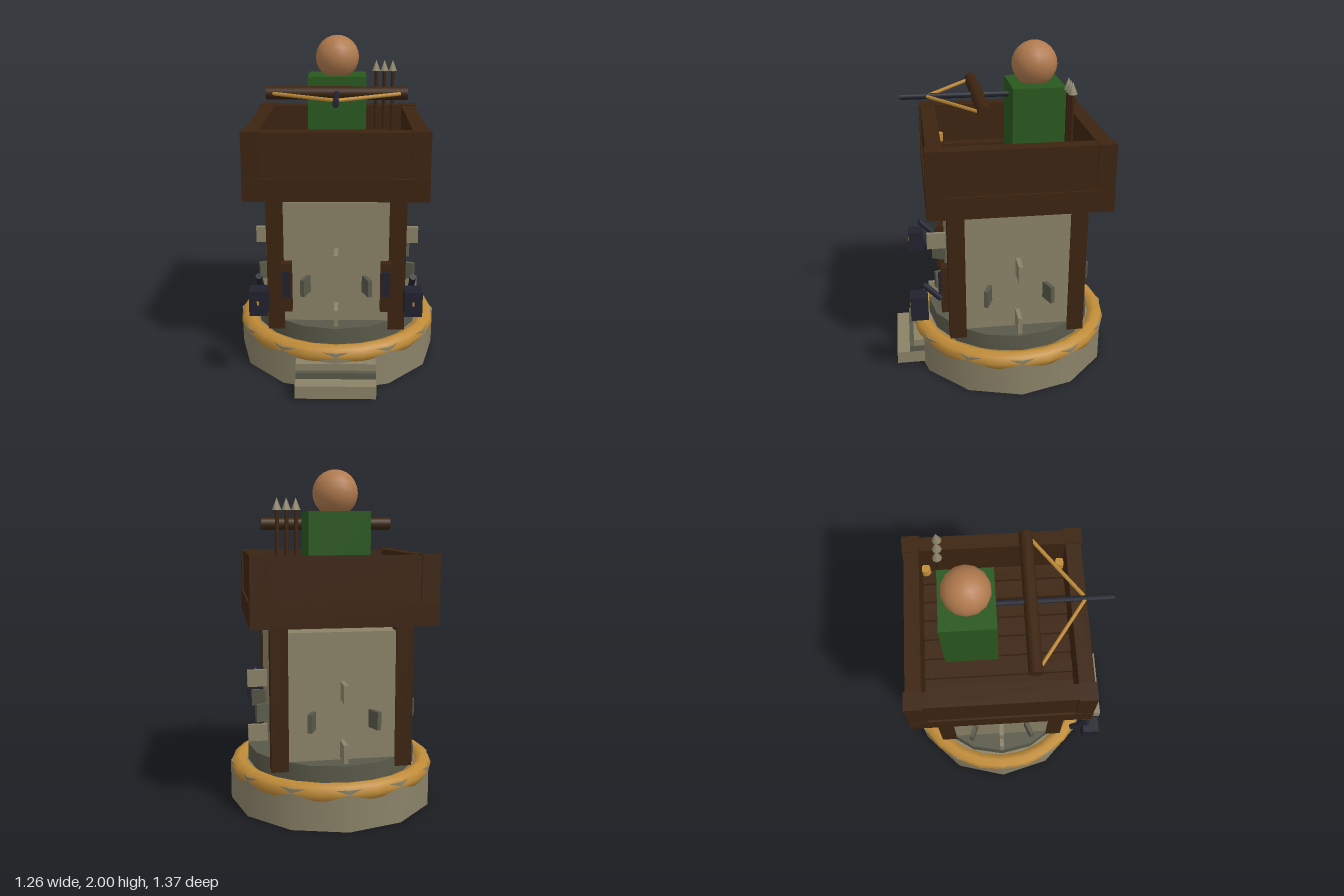
import * as THREE from 'three';

const mat = (name, color) => {
  const m = new THREE.MeshStandardMaterial({ color });
  m.name = name;
  return m;
};

export function createModel() {
  const model = new THREE.Group();
  model.name = 'watchtower';
  const stone = mat('pale stone', 0x8a8268);
  const darkStone = mat('dark stone', 0x59594a);
  const wood = mat('dark wood', 0x3c2410);
  const gold = mat('gold', 0xc08c38);
  const green = mat('green cloth', 0x29581f);
  const skin = mat('skin', 0xb07a4e);
  const iron = mat('dark iron', 0x22222f);

  const add = (parent, name, geometry, material, x = 0, y = 0, z = 0) => {
    const mesh = new THREE.Mesh(geometry, material);
    mesh.name = name;
    mesh.position.set(x, y, z);
    parent.add(mesh);
    return mesh;
  };
  // Box given by its lower and upper bounds
  const box = (parent, name, material, [x0, x1], [y0, y1], [z0, z1]) =>
    add(parent, name, new THREE.BoxGeometry(x1 - x0, y1 - y0, z1 - z0), material,
      (x0 + x1) / 2, (y0 + y1) / 2, (z0 + z1) / 2);
  // Round rod between two points
  const rod = (parent, name, material, a, b, radius, sides = 8) => {
    const p = new THREE.Vector3(...a), q = new THREE.Vector3(...b);
    const dir = q.clone().sub(p);
    const mesh = add(parent, name, new THREE.CylinderGeometry(radius, radius, dir.length(), sides), material);
    mesh.position.copy(p).add(q).multiplyScalar(0.5);
    mesh.quaternion.setFromUnitVectors(new THREE.Vector3(0, 1, 0), dir.normalize());
    return mesh;
  };

  // The tower is set slightly back to leave room for the steps
  const tower = new THREE.Group();
  tower.name = 'tower';
  tower.position.z = -0.055;
  model.add(tower);

  // Round foundation with a gold ring
  add(tower, 'foundation', new THREE.CylinderGeometry(0.63, 0.63, 0.24, 12), stone, 0, 0.12, 0);
  add(tower, 'goldRing', new THREE.TorusGeometry(0.575, 0.055, 8, 24), gold, 0, 0.215, 0).rotation.x = Math.PI / 2;
  add(tower, 'plinth', new THREE.CylinderGeometry(0.52, 0.52, 0.145, 16), darkStone, 0, 0.2725, 0);

  // Square walls and corner posts
  box(tower, 'walls', stone, [-0.4, 0.4], [0.3, 1.09], [-0.4, 0.4]);
  for (const sx of [-1, 1]) for (const sz of [-1, 1]) {
    add(tower, 'cornerPost', new THREE.BoxGeometry(0.1, 0.84, 0.1), wood, sx * 0.36, 0.71, sz * 0.36);
  }

  // Stones sticking out of the walls in three rows
  const stoneBlock = new THREE.BoxGeometry(0.025, 0.105, 0.16);
  const protrude = (name, material, angle, y) => {
    add(tower, name, stoneBlock, material, Math.sin(angle) * 0.44, y, Math.cos(angle) * 0.44).rotation.y = angle;
  };
  for (let i = 0; i < 4; i++) {
    protrude('lowerStone', stone, i * Math.PI / 2, 0.41);
    protrude('upperStone', stone, i * Math.PI / 2, 0.755);
  }
  for (let i = 0; i < 8; i++) protrude('middleStone', darkStone, (i + 0.5) * Math.PI / 4, 0.585);

  // Platform with parapet and planks
  box(tower, 'platform', wood, [-0.525, 0.525], [1.13, 1.26], [-0.525, 0.525]);
  for (let i = 0; i < 4; i++) {
    const side = new THREE.Group();
    side.name = 'parapetSide';
    side.rotation.y = i * Math.PI / 2;
    tower.add(side);
    box(side, 'parapetPanel', wood, [-0.42, 0.42], [1.26, 1.52], [0.425, 0.513]);
    box(side, 'parapetCorner', wood, [0.42, 0.523], [1.26, 1.525], [0.42, 0.523]);
    add(side, 'goldCornerKnob', new THREE.CylinderGeometry(0.03, 0.03, 0.08, 8), gold, 0.405, 1.3, 0.405);
  }
  for (let i = -3; i <= 3; i++) {
    box(tower, 'floorPlank', wood, [i * 0.12 - 0.033, i * 0.12 + 0.033], [1.26, 1.285], [-0.425, 0.425]);
  }

  // Entrance steps
  const stepWidth = [-0.234, 0.234];
  box(model, 'lowerStep', stone, stepWidth, [0.015, 0.095], [0.4, 0.685]);
  box(model, 'middleStep', darkStone, stepWidth, [0.095, 0.135], [0.4, 0.605]);
  box(model, 'upperStep', stone, stepWidth, [0.135, 0.178], [0.4, 0.577]);

  // Front boards and lanterns, mirrored
  for (const s of [-1, 1]) {
    add(model, 'frontBoard', new THREE.BoxGeometry(0.063, 0.305, 0.055), wood, s * 0.293, 0.577, 0.368);
    add(model, 'boardPlate', new THREE.BoxGeometry(0.045, 0.155, 0.02), iron, s * 0.293, 0.603, 0.4);
    const lantern = new THREE.Group();
    lantern.name = 'lantern';
    lantern.position.set(s * 0.44, 0, 0);
    model.add(lantern);
    box(lantern, 'lanternBox', iron, [-0.051, 0.051], [0.485, 0.632], [0.48, 0.582]);
    box(lantern, 'lanternLight', gold, [-0.006, 0.006], [0.55, 0.575], [0.58, 0.585]);
    rod(lantern, 'lanternArm', iron, [0, 0.595, 0.405], [0, 0.697, 0.505], 0.019);
  }

  // Archer
  const archer = new THREE.Group();
  archer.name = 'archer';
  model.add(archer);
  box(archer, 'archerBody', green, [-0.178, 0.178], [1.285, 1.76], [-0.362, -0.053]);
  add(archer, 'archerHead', new THREE.SphereGeometry(0.134, 14, 12), skin, 0, 1.866, -0.205);

  // Crossbow
  const bow = new THREE.Group();
  bow.name = 'crossbow';
  bow.position.y = 1.69;
  model.add(bow);
  rod(bow, 'crossbowStock', iron, [0, 0, -0.08], [0, 0, 0.582], 0.017);
  rod(bow, 'crossbowBar', wood, [-0.41, 0, 0.133], [0.41, 0, 0.133], 0.039, 12);
  for (const s of [-1, 1]) rod(bow, 'bowString', gold, [s * 0.365, 0, 0.165], [0, 0, 0.43], 0.011, 6);

  // Spare arrows
  for (const x of [0.248, 0.301, 0.354]) {
    rod(model, 'arrowShaft', wood, [x, 1.27, -0.355], [x, 1.775, -0.355], 0.011);
    add(model, 'arrowHead', new THREE.ConeGeometry(0.027, 0.07, 8), stone, x, 1.8, -0.355);
  }
  return model;
}
